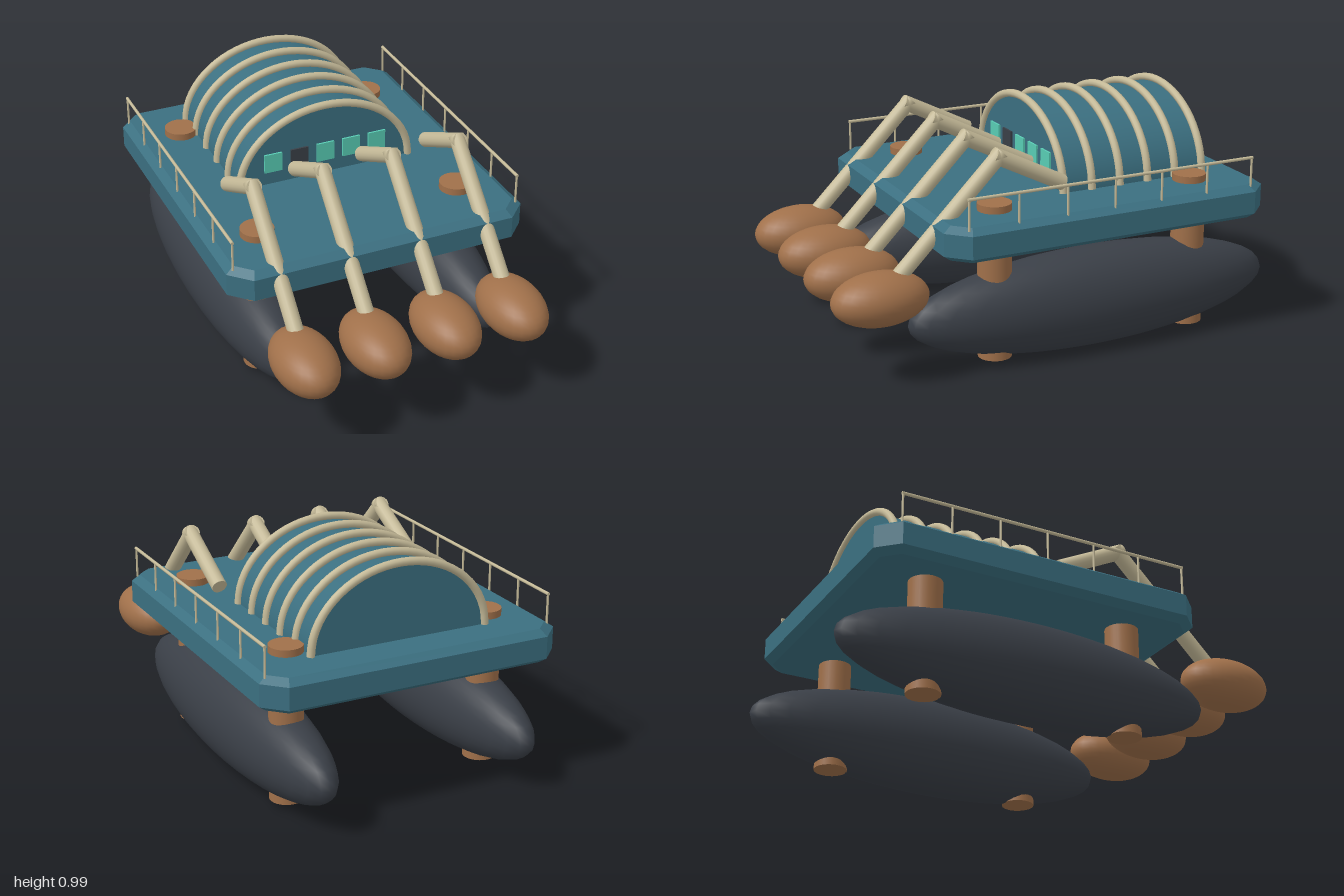
import * as THREE from 'three';

const mat = (name, color) => {
  const m = new THREE.MeshStandardMaterial({ color });
  m.name = name;
  return m;
};

export function createModel() {
  const teal = mat('teal hull', 0x3b6f80);
  const brown = mat('copper brown', 0xa0704a);
  const tan = mat('pale rib', 0xc5ba98);
  const dark = mat('charcoal', 0x3a3f47);
  const mint = mat('mint glass', 0x58ccb4);

  const model = new THREE.Group();
  model.name = 'pontoonCraft';

  const add = (name, geometry, material, x = 0, y = 0, z = 0, parent = model) => {
    const mesh = new THREE.Mesh(geometry, material);
    mesh.name = name;
    mesh.position.set(x, y, z);
    parent.add(mesh);
    return mesh;
  };

  // Cylinder between two points, optionally lengthened past its end
  const rod = (name, a, b, r, material, parent, extraA = 0, extraB = 0, sides = 16) => {
    const dir = b.clone().sub(a).normalize();
    const p = a.clone().addScaledVector(dir, -extraA);
    const q = b.clone().addScaledVector(dir, extraB);
    const mid = p.clone().add(q).multiplyScalar(0.5);
    const mesh = add(name, new THREE.CylinderGeometry(r, r, p.distanceTo(q), sides),
      material, mid.x, mid.y, mid.z, parent);
    mesh.quaternion.setFromUnitVectors(new THREE.Vector3(0, 1, 0), dir);
    return mesh;
  };

  // Deck: chamfered rectangle with bevelled rims
  const X = 0.625, Z0 = -0.865, Z1 = 0.535, C = 0.065;
  const outline = new THREE.Shape([
    [-X + C, Z0], [X - C, Z0], [X, Z0 + C], [X, Z1 - C],
    [X - C, Z1], [-X + C, Z1], [-X, Z1 - C], [-X, Z0 + C],
  ].map(([x, z]) => new THREE.Vector2(x, z)));
  const deck = new THREE.ExtrudeGeometry(outline, {
    depth: 0.095, bevelEnabled: true, bevelThickness: 0.025, bevelSize: 0.035, bevelSegments: 1,
  });
  deck.rotateX(Math.PI / 2);
  add('deck', deck, teal, 0, 0.63, 0);

  // Vaulted cabin
  const cabin = new THREE.CylinderGeometry(1, 1, 0.665, 32, 1, false, Math.PI / 2, Math.PI);
  cabin.rotateX(Math.PI / 2);
  cabin.scale(0.39, 0.31, 1);
  add('cabin', cabin, teal, 0, 0.654, -0.3825);

  // Ribs over the cabin
  const arch = [];
  for (let i = 0; i <= 16; i++) {
    const t = (i / 16) * Math.PI;
    arch.push(new THREE.Vector3(0.393 * Math.cos(t), 0.323 * Math.sin(t), 0));
  }
  const rib = new THREE.TubeGeometry(new THREE.CatmullRomCurve3(arch), 32, 0.017, 10);
  for (let i = 0; i < 6; i++) add('cabinRib', rib, tan, 0, 0.655, -0.05 - i * 0.133);

  // Row of front windows, one of them dark
  const pane = new THREE.BoxGeometry(0.08, 0.085, 0.009);
  for (let i = -2; i <= 2; i++) {
    add(i === -1 ? 'darkWindow' : 'window', pane, i === -1 ? dark : mint, i * 0.12, 0.757, -0.046);
  }

  // Floats and the posts that carry the deck
  const float = new THREE.SphereGeometry(1, 32, 20);
  float.scale(0.174, 0.214, 0.835);
  const post = new THREE.CylinderGeometry(0.071, 0.071, 0.66, 24);
  for (const s of [-1, 1]) {
    add('float', float, dark, s * 0.448, 0.214, -0.16);
    for (const z of [0.293, -0.617]) add('floatPost', post, brown, s * 0.452, 0.355, z);
  }

  // Four bent front arms ending in egg-shaped pads
  const pad = new THREE.SphereGeometry(1, 28, 18);
  pad.scale(0.13, 0.11, 0.204);
  for (const x of [-0.46, -0.155, 0.155, 0.46]) {
    const arm = new THREE.Group();
    arm.name = 'frontArm';
    model.add(arm);
    const root = new THREE.Vector3(x, 0.727, -0.01);
    const elbow = new THREE.Vector3(x, 0.873, 0.28);
    const foot = new THREE.Vector3(x, 0.4, 0.755);
    rod('upperArm', root, elbow, 0.033, tan, arm, 0, 0.022);
    rod('lowerArm', elbow, foot, 0.033, tan, arm, 0.022, 0);
    add('pad', pad, brown, x * 1.005, 0.361, 0.796, arm);
  }

  // Side railings
  for (const s of [-1, 1]) {
    const railing = new THREE.Group();
    railing.name = s > 0 ? 'leftRailing' : 'rightRailing';
    model.add(railing);
    const at = (y, z) => new THREE.Vector3(s * 0.632, y, z);
    rod('handrail', at(0.773, 0.492), at(0.773, -0.812), 0.007, tan, railing, 0, 0, 8);
    for (let i = 0; i <= 6; i++) {
      const z = 0.487 - i * 0.2157;
      rod('railPost', at(0.645, z), at(0.773, z), 0.005, tan, railing, 0, 0, 8);
    }
  }

  return model;
}
